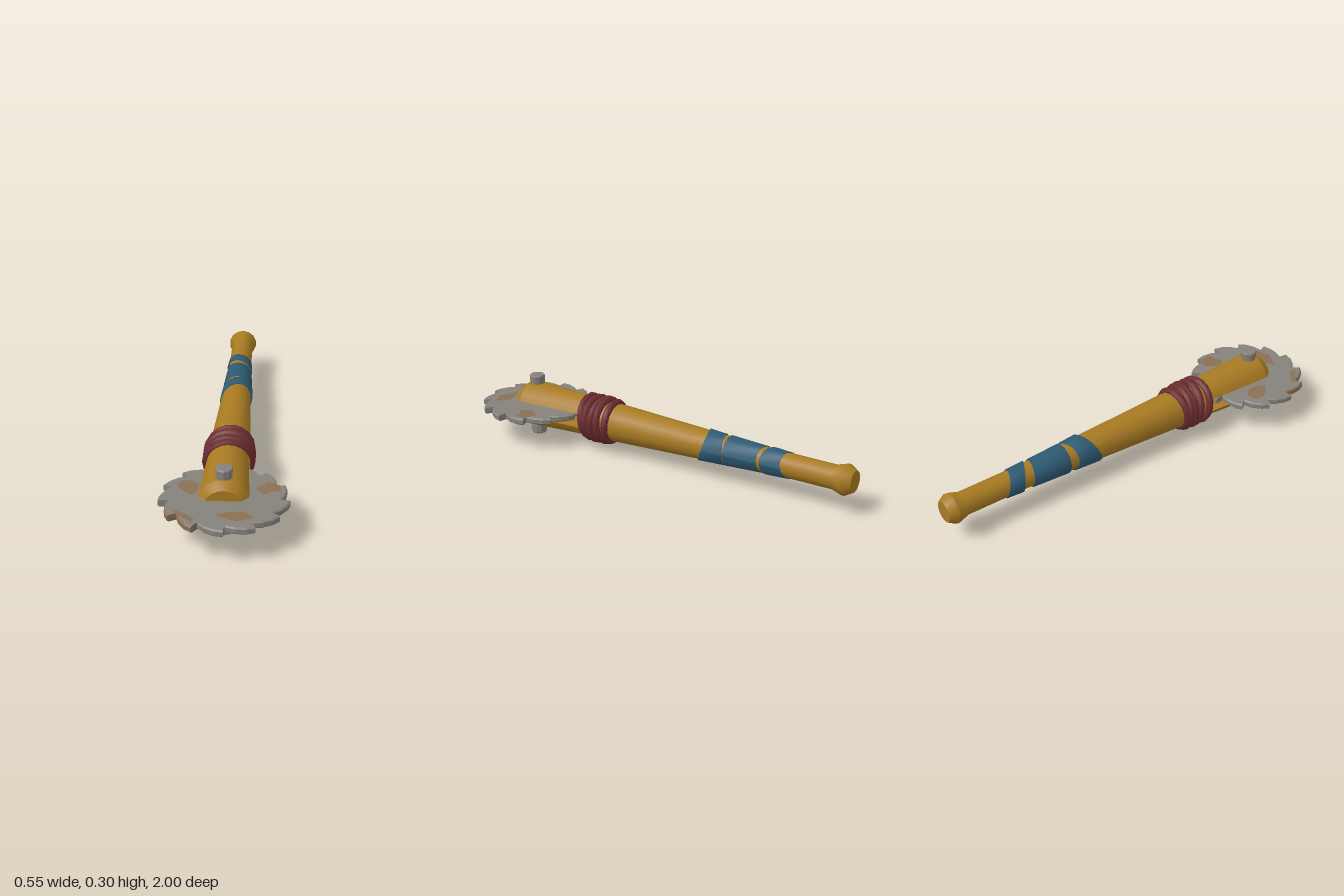
import * as THREE from 'three';

const AXIS_Y = 0.153, BLADE_Z = 0.725, SIDES = 14;

function makeMat(name, color, extra = {}) {
  const m = new THREE.MeshStandardMaterial({ color, ...extra });
  m.name = name;
  return m;
}

// Geometry from a flat list of triangle corners
function fromTriangles(pos) {
  const g = new THREE.BufferGeometry();
  g.setAttribute('position', new THREE.Float32BufferAttribute(pos, 3));
  g.computeVertexNormals();
  return g;
}

// Skin joining rows of points of equal length, smooth shaded
function skin(rows) {
  const n = rows[0].length, index = [];
  for (let r = 0; r < rows.length - 1; r++) for (let i = 0; i < n - 1; i++) {
    const a = r * n + i, b = a + 1, c = a + n, d = c + 1;
    index.push(a, b, c, b, d, c);
  }
  const g = new THREE.BufferGeometry();
  g.setAttribute('position', new THREE.Float32BufferAttribute(rows.flat(2), 3));
  g.setIndex(index);
  g.computeVertexNormals();
  return g;
}

export function createModel() {
  const wood = makeMat('wood', 0xa87a22);
  const cloth = makeMat('blue cloth', 0x2d5a73, { side: THREE.DoubleSide });
  const cord = makeMat('red cord', 0x6c2c30);
  const steel = makeMat('steel', 0x85827c);
  const rust = makeMat('rust', 0x8b6f52);

  const model = new THREE.Group();
  model.name = 'sawClub';
  const add = (name, geo, mat, parent = model) => {
    const mesh = new THREE.Mesh(geo, mat);
    mesh.name = name;
    parent.add(mesh);
    return mesh;
  };

  // Tapered handle with a pommel at the back
  const profile = [[0, -1], [0.05, -1], [0.05, -1], [0.071, -0.965], [0.069, -0.95], [0.055, -0.905],
    [0.056, -0.6], [0.09, 0.2], [0.096, 0.41], [0.096, 0.41], [0, 0.41]];
  const handle = new THREE.LatheGeometry(profile.map(p => new THREE.Vector2(...p)), SIDES);
  add('handle', handle.rotateX(Math.PI / 2), wood).position.y = AXIS_Y;

  // Two half-round prongs on either side of the blade slot
  const gap = 0.035;
  const rows = [[0.4, 0.0955], [0.75, 0.111], [0.765, 0.109], [0.8, 0.082]].map(([z, r]) => {
    const a0 = Math.asin(gap / r), row = [];
    for (let i = 0; i <= 8; i++) {
      const a = a0 + (Math.PI - 2 * a0) * i / 8;
      row.push([r * Math.cos(a), r * Math.sin(a), z]);
    }
    return row;
  });
  const flats = [];
  for (let k = 0; k < rows.length - 1; k++) {
    const a = rows[k][0], b = rows[k][8], c = rows[k + 1][0], d = rows[k + 1][8];
    flats.push(...a, ...c, ...b, ...b, ...c, ...d);
  }
  const end = rows[rows.length - 1];
  for (let i = 1; i < 8; i++) flats.push(...end[0], ...end[i], ...end[i + 1]);
  const prongSkin = skin(rows), prongFlats = fromTriangles(flats);
  for (const side of ['upper', 'lower']) {
    const prong = new THREE.Group();
    prong.name = side + 'Prong';
    prong.position.y = AXIS_Y;
    if (side === 'lower') prong.rotation.z = Math.PI;
    add(side + 'ProngBack', orient(prongSkin), wood, prong);
    add(side + 'ProngFaces', prongFlats, wood, prong);
    model.add(prong);
  }

  // Slanted cloth wraps: each edge is [z, slope along x, slope along y]
  const wraps = [
    { r: [0.079, 0.073], front: [-0.25, -0.025, -0.027], back: [-0.357, -0.02, 0] },
    { r: [0.072, 0.063], front: [-0.383, 0, 0], back: [-0.56, 0.012, 0.005] },
    { r: [0.065, 0.06], front: [-0.597, 0.03, 0.008], back: [-0.685, 0.017, 0.015] },
  ];
  wraps.forEach((w, k) => {
    const ring = (r, [z, sx, sy]) => Array.from({ length: SIDES + 1 }, (_, i) => {
      const a = i / SIDES * Math.PI * 2, c = Math.cos(a), s = Math.sin(a);
      return [r * c, r * s, z + sx * c + sy * s];
    });
    const g = skin([ring(0.055, w.back), ring(w.r[1], w.back), ring(w.r[0], w.front), ring(0.06, w.front)]);
    add('clothWrap' + (k + 1), orient(g), cloth).position.y = AXIS_Y;
  });

  // Cord coils binding the fork: [z, tilt about x, tilt about y, radius]
  const coils = [[0.26, -0.05, 0.08, 0.094], [0.29, 0.1, -0.06, 0.099], [0.322, -0.04, -0.1, 0.101],
    [0.352, 0.12, -0.08, 0.1], [0.39, 0.16, 0.07, 0.1]];
  coils.forEach(([z, tx, ty, r], k) => {
    const coil = add('cordCoil' + (k + 1), new THREE.TorusGeometry(r, 0.018, 7, 18), cord);
    coil.position.set(0, AXIS_Y, z);
    coil.rotation.set(tx, ty, 0);
  });

  // Saw blade, drawn flat and laid down
  const blade = new THREE.Group();
  blade.name = 'sawBlade';
  blade.position.set(0, AXIS_Y - 0.0155, BLADE_Z);
  blade.rotation.x = -Math.PI / 2;
  model.add(blade);
  const TEETH = 13, step = Math.PI * 2 / TEETH, start = 273 * Math.PI / 180;
  const outline = [];
  for (let t = 0; t < TEETH; t++)
    for (const [f, r] of [[0.03, 0.236], [0.35, 0.256], [0.7, 0.271], [0.98, 0.276]]) {
      const a = start + (t + f) * step;
      outline.push(new THREE.Vector2(r * Math.cos(a), r * Math.sin(a)));
    }
  const thick = 0.031, inset = 0.975;
  const face = new THREE.ShapeGeometry(new THREE.Shape(outline.map(p => p.clone().multiplyScalar(inset))));
  add('bladeTop', face, steel, blade).position.z = thick;
  const under = add('bladeUnderside', mirrorFace(face), steel, blade);
  under.position.z = 0;

  // Bevelled toothed rim, with a few rusty teeth
  const layers = [[0, inset], [0.006, 1], [0.025, 1], [thick, inset]];
  const rim = { steel: [], rust: [] };
  outline.forEach((p, i) => {
    const q = outline[(i + 1) % outline.length];
    const tooth = Math.floor(i / 4);
    const list = [10, 11].includes(tooth) ? rim.rust : rim.steel;
    for (let k = 0; k < 3; k++) {
      const [d0, s0] = layers[k], [d1, s1] = layers[k + 1];
      const a = [p.x * s0, p.y * s0, d0], b = [q.x * s0, q.y * s0, d0];
      const c = [q.x * s1, q.y * s1, d1], d = [p.x * s1, p.y * s1, d1];
      list.push(...a, ...b, ...c, ...a, ...c, ...d);
    }
  });
  add('toothedRim', fromTriangles(rim.steel), steel, blade);
  add('rustyTeeth', fromTriangles(rim.rust), rust, blade);

  // Rust patches on the upper face
  const patches = [
    [[-0.19, 0.12], [-0.2, 0.07], [-0.17, 0.03], [-0.13, 0], [-0.11, 0.05], [-0.115, 0.1], [-0.15, 0.125]],
    [[0.13, 0.07], [0.16, 0.02], [0.2, 0.045], [0.235, 0.05], [0.23, 0.1], [0.18, 0.13], [0.155, 0.1]],
    [[-0.03, -0.16], [0.06, -0.2], [0.13, -0.17], [0.09, -0.12], [0.02, -0.13]],
    [[-0.2, -0.12], [-0.19, -0.15], [-0.12, -0.215], [-0.11, -0.19], [-0.15, -0.15]],
  ];
  patches.forEach((pts, k) => {
    const shape = new THREE.Shape(pts.map(p => new THREE.Vector2(...p)));
    add('rustPatch' + (k + 1), new THREE.ShapeGeometry(shape), rust, blade).position.z = thick + 0.0015;
  });

  // Axle bolt with a head above and below
  const axle = add('axle', new THREE.CylinderGeometry(0.031, 0.031, 0.26, 10), steel);
  axle.position.set(0, AXIS_Y, BLADE_Z);
  for (const s of [1, -1]) {
    const pts = [[0, -0.025], [0.036, -0.025], [0.038, 0.013], [0.034, 0.019], [0, 0.019]];
    const headGeo = new THREE.LatheGeometry(pts.map(p => new THREE.Vector2(...p)), 10).toNonIndexed();
    headGeo.computeVertexNormals();
    const head = add(s > 0 ? 'upperBoltHead' : 'lowerBoltHead', headGeo, steel);
    head.position.set(0, AXIS_Y + s * 0.133, BLADE_Z);
    if (s < 0) head.rotation.x = Math.PI;
  }
  return model;
}

// Flip a skin whose normals point towards its axis so that it faces outwards
function orient(g) {
  const p = g.attributes.position, n = g.attributes.normal;
  let sum = 0;
  for (let i = 0; i < p.count; i++) sum += p.getX(i) * n.getX(i) + p.getY(i) * n.getY(i);
  if (sum < 0) {
    g.setIndex(Array.from(g.index.array).reverse());
    g.computeVertexNormals();
  }
  return g;
}

// Copy of a flat face that looks the other way
function mirrorFace(g) {
  const m = g.clone();
  m.setIndex(Array.from(g.index.array).reverse());
  m.computeVertexNormals();
  return m;
}
